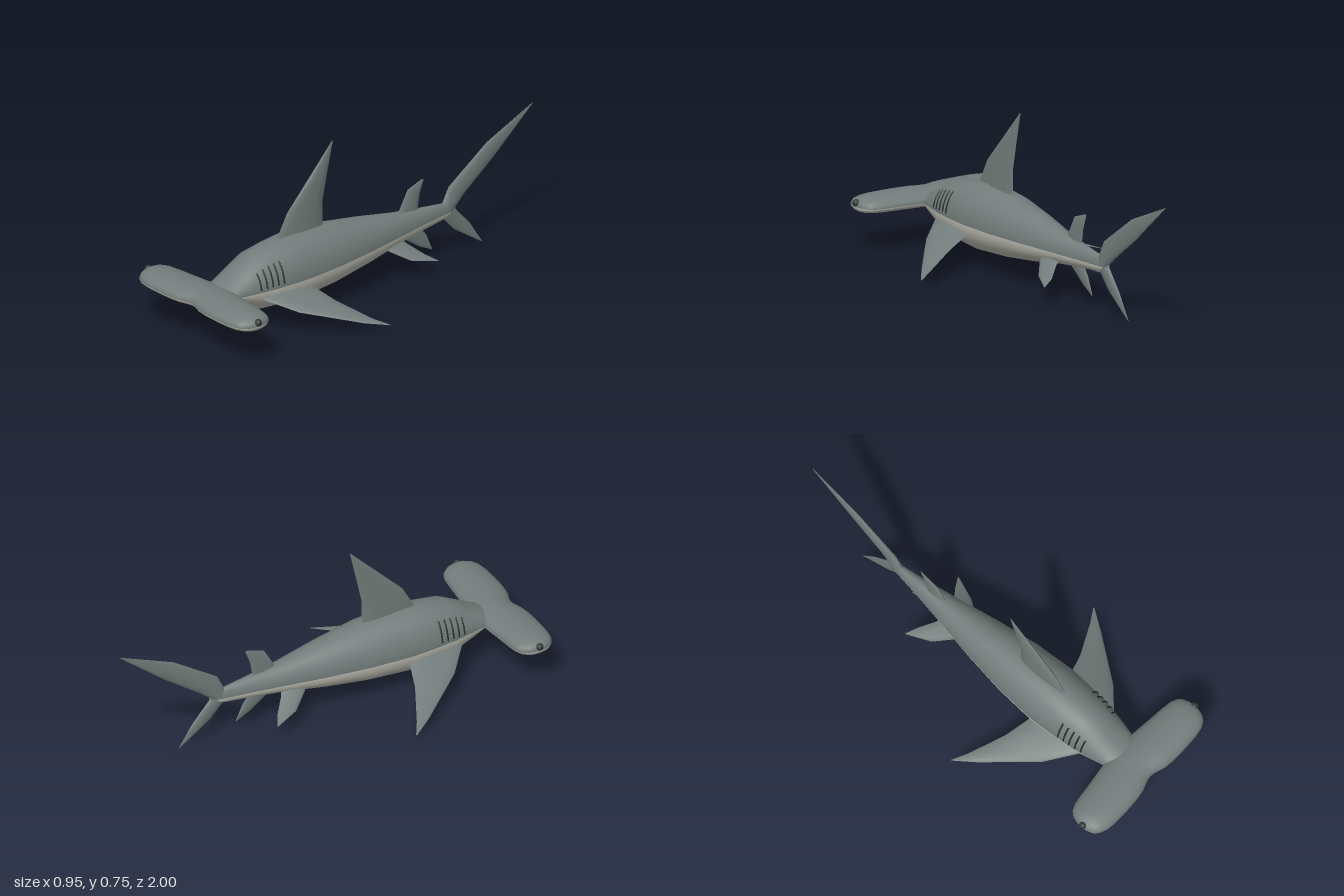
import * as THREE from 'three';
import { toCreasedNormals } from 'three/addons/utils/BufferGeometryUtils.js';

const mat = (name, color) => Object.assign(new THREE.MeshStandardMaterial({ color }), { name });
const V = (p) => new THREE.Vector3(...p);

// Skin closed rings of equal length, cap both ends, wind outward.
// Faces in the second half of each ring go to material group 1 when split is set.
function loft(rings, split = false) {
  const n = rings[0].length, pos = rings.flat(), parts = [[], []];
  const put = (j, ...tri) => parts[split && j >= n / 2 ? 1 : 0].push(...tri);
  for (let i = 0; i < rings.length - 1; i++) {
    for (let j = 0; j < n; j++) {
      const a = i * n + j, b = i * n + (j + 1) % n;
      put(j, a, b, b + n, a, b + n, a + n);
    }
  }
  for (const i of [0, rings.length - 1]) {
    const c = pos.length;
    pos.push(rings[i].reduce((s, p) => s.add(p), new THREE.Vector3()).divideScalar(n));
    for (let j = 0; j < n; j++) {
      const a = i * n + j, b = i * n + (j + 1) % n;
      if (i) put(j, c, a, b); else put(j, c, b, a);
    }
  }
  const index = parts.flat();
  let volume = 0;
  for (let k = 0; k < index.length; k += 3) {
    volume += pos[index[k]].dot(pos[index[k + 1]].clone().cross(pos[index[k + 2]]));
  }
  if (volume < 0) {
    for (let k = 0; k < index.length; k += 3) [index[k], index[k + 1]] = [index[k + 1], index[k]];
  }
  const g = new THREE.BufferGeometry().setFromPoints(pos);
  g.setIndex(index);
  if (split) {
    g.addGroup(0, parts[0].length, 0);
    g.addGroup(parts[0].length, parts[1].length, 1);
  }
  g.computeVertexNormals();
  return g;
}

// Lens-section fin: rows of [leading point, trailing point, half thickness].
function finGeometry(rows, normal) {
  const n = V(normal).normalize(), m = 12;
  const rings = rows.map(([lead, trail, half]) => Array.from({ length: m }, (_, k) => {
    const a = k / m * Math.PI * 2;
    return V(lead).lerp(V(trail), (1 - Math.cos(a)) / 2).addScaledVector(n, Math.sin(a) * half);
  }));
  return toCreasedNormals(loft(rings), 0.7);
}

const SEAM = 0.205;
// Body stations: z, half width, top y, bottom y
const BODY = [
  [0.86, 0.07, 0.228, 0.185], [0.79, 0.092, 0.25, 0.17], [0.71, 0.11, 0.298, 0.125],
  [0.62, 0.127, 0.347, 0.082], [0.51, 0.137, 0.364, 0.073], [0.4, 0.143, 0.374, 0.068],
  [0.2, 0.13, 0.361, 0.083], [0, 0.102, 0.328, 0.11], [-0.2, 0.066, 0.289, 0.145],
  [-0.35, 0.04, 0.268, 0.162], [-0.49, 0.02, 0.25, 0.176], [-0.55, 0.006, 0.22, 0.195],
];
const bodyPoint = ([z, w, top, bottom], a, grow = 0) => new THREE.Vector3(
  Math.cos(a) * (w + grow),
  SEAM + Math.sin(a) * (Math.sin(a) > 0 ? top - SEAM + grow : SEAM - bottom + grow), z);

function bodyStation(z) {
  const i = BODY.findIndex((s) => s[0] <= z), a = BODY[i - 1], b = BODY[i];
  const t = (z - a[0]) / (b[0] - a[0]);
  return a.map((v, k) => v + (b[k] - v) * t);
}

// Half of the head: x, front z, back z, height factor
const HEAD = [
  [0, 0.968, 0.775, 1], [0.03, 0.974, 0.775, 1], [0.07, 0.989, 0.775, 1], [0.12, 0.996, 0.78, 1],
  [0.2, 0.998, 0.79, 1], [0.27, 0.996, 0.797, 0.97], [0.315, 0.989, 0.804, 0.91],
  [0.345, 0.975, 0.817, 0.8], [0.363, 0.955, 0.838, 0.62], [0.372, 0.93, 0.865, 0.4],
  [0.375, 0.91, 0.888, 0.15],
];

export function createModel() {
  const skin = mat('skin grey', 0x727c7a), belly = mat('belly pale', 0xb8b8ae);
  const eyeDark = mat('eye dark', 0x343a3a), lineDark = mat('slit dark', 0x262a2a);
  const model = new THREE.Group();
  model.name = 'hammerheadShark';
  const add = (name, geometry, material) => {
    const mesh = new THREE.Mesh(geometry, material);
    mesh.name = name;
    model.add(mesh);
    return mesh;
  };

  // Body, grey above and pale below
  const N = 40;
  add('body', loft(BODY.map((s) => Array.from({ length: N },
    (_, j) => bodyPoint(s, j / N * Math.PI * 2))), true), [skin, belly]);

  // Wide hammer head
  const stations = [...HEAD.slice(1).reverse().map(([x, ...r]) => [-x, ...r]), ...HEAD];
  add('head', loft(stations.map(([x, front, back, h]) => Array.from({ length: 24 }, (_, j) => {
    const a = j / 24 * Math.PI * 2, s = Math.sin(a);
    return new THREE.Vector3(x, SEAM + s * h * (s > 0 ? 0.047 : 0.034),
      (front + back) / 2 + Math.cos(a) * (front - back) / 2);
  })), true), [skin, belly]);

  // Mouth line under the head
  const mouth = new THREE.CatmullRomCurve3([[-0.085, 0.173, 0.865], [-0.05, 0.171, 0.893],
    [0, 0.171, 0.905], [0.05, 0.171, 0.893], [0.085, 0.173, 0.865]].map(V));
  add('mouth', new THREE.TubeGeometry(mouth, 20, 0.003, 6), lineDark);

  // Fins on the centre line
  const centreFins = {
    dorsalFin: [
      [[0, 0.33, 0.49], [0, 0.33, 0.213], 0.018], [[0, 0.375, 0.472], [0, 0.375, 0.213], 0.017],
      [[0, 0.475, 0.417], [0, 0.475, 0.213], 0.015], [[0, 0.61, 0.288], [0, 0.61, 0.184], 0.01],
      [[0, 0.747, 0.157], [0, 0.745, 0.154], 0.002]],
    secondDorsalFin: [
      [[0, 0.25, -0.21], [0, 0.25, -0.335], 0.011], [[0, 0.29, -0.228], [0, 0.275, -0.337], 0.011],
      [[0, 0.378, -0.278], [0, 0.335, -0.347], 0.007], [[0, 0.406, -0.36], [0, 0.402, -0.371], 0.001]],
    upperTailFin: [
      [[0, 0.22, -0.47], [0, 0.2, -0.535], 0.018], [[0, 0.255, -0.482], [0, 0.213, -0.545], 0.018],
      [[0, 0.32, -0.513], [0, 0.262, -0.603], 0.014], [[0, 0.47, -0.733], [0, 0.39, -0.775], 0.008],
      [[0, 0.583, -0.998], [0, 0.58, -1], 0.001]],
    lowerTailFin: [
      [[0, 0.2, -0.475], [0, 0.22, -0.54], 0.014], [[0, 0.17, -0.49], [0, 0.2, -0.557], 0.013],
      [[0, 0.107, -0.545], [0, 0.11, -0.637], 0.008], [[0, 0.001, -0.703], [0, 0.003, -0.706], 0.001]],
    analFin: [
      [[0, 0.18, -0.22], [0, 0.18, -0.355], 0.01], [[0, 0.155, -0.245], [0, 0.16, -0.362], 0.01],
      [[0, 0.085, -0.342], [0, 0.13, -0.385], 0.006], [[0, 0.048, -0.417], [0, 0.051, -0.42], 0.001]],
  };
  for (const [name, rows] of Object.entries(centreFins)) add(name, finGeometry(rows, [1, 0, 0]), skin);

  // Paired parts
  for (const [side, s] of [['left', 1], ['right', -1]]) {
    const flip = (rows) => rows.map(([l, t, h]) => [[l[0] * s, l[1], l[2]], [t[0] * s, t[1], t[2]], h]);

    add(side + 'PectoralFin', finGeometry(flip([
      [[0.07, 0.185, 0.67], [0.07, 0.185, 0.4], 0.016],
      [[0.115, 0.17, 0.655], [0.13, 0.16, 0.382], 0.016],
      [[0.235, 0.117, 0.548], [0.245, 0.117, 0.344], 0.012],
      [[0.41, 0.058, 0.32], [0.405, 0.06, 0.263], 0.005],
      [[0.475, 0.043, 0.225], [0.472, 0.043, 0.222], 0.001]]), [0.38 * s, 0.92, 0]), skin);

    add(side + 'PelvicFin', finGeometry(flip([
      [[0.03, 0.185, -0.07], [0.025, 0.18, -0.205], 0.01],
      [[0.075, 0.152, -0.115], [0.06, 0.155, -0.225], 0.01],
      [[0.132, 0.106, -0.19], [0.118, 0.11, -0.275], 0.006],
      [[0.177, 0.089, -0.304], [0.175, 0.089, -0.307], 0.001]]), [0.6 * s, 0.8, 0]), skin);

    // Five gill slits hugging the flank
    for (let i = 0; i < 5; i++) {
      const st = bodyStation(0.665 - i * 0.03);
      const path = Array.from({ length: 7 }, (_, k) => {
        const p = bodyPoint(st, 0.1 + k * 0.115);
        p.x *= s;
        return p;
      });
      add(side + 'GillSlit' + (i + 1),
        new THREE.TubeGeometry(new THREE.CatmullRomCurve3(path), 14, 0.004, 6), lineDark);
    }

    // Eye on the tip of the head, with a dark pupil
    add(side + 'Eye', new THREE.SphereGeometry(0.017, 20, 14), eyeDark).position.set(0.37 * s, 0.222, 0.9);
    const pupil = add(side + 'Pupil', new THREE.SphereGeometry(0.009, 14, 10), lineDark);
    pupil.position.set(0.379 * s, 0.223, 0.901);

    // Nostril under the front edge
    const nostril = add(side + 'Nostril', new THREE.SphereGeometry(1, 12, 8), lineDark);
    nostril.scale.set(0.014, 0.004, 0.004);
    nostril.position.set(0.29 * s, 0.184, 0.969);
  }
  return model;
}
